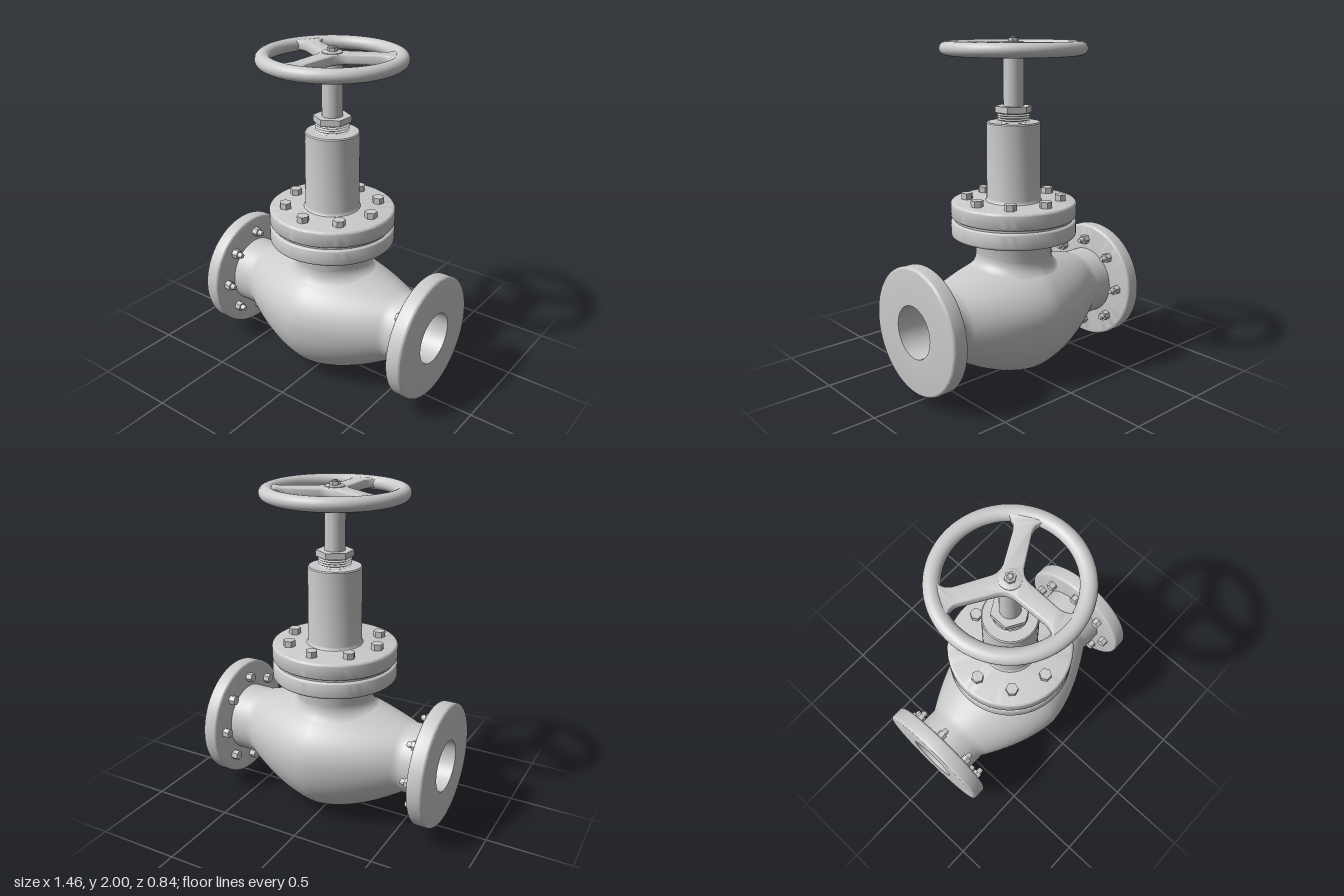
import * as THREE from 'three';
import { mergeVertices, toCreasedNormals } from 'three/addons/utils/BufferGeometryUtils.js';
import { ParametricGeometry } from 'three/addons/geometries/ParametricGeometry.js';

const material = new THREE.MeshStandardMaterial({ color: 0xcccccc });
const AXIS = 0.42; // height of the pipe axis
const BORE = 0.153;
const BOLT_CIRCLE = 0.275;

function add(parent, name, geometry, x = 0, y = 0, z = 0) {
  const mesh = new THREE.Mesh(geometry, material);
  mesh.name = name;
  mesh.position.set(x, y, z);
  parent.add(mesh);
  return mesh;
}

// Turned part from [radius, height] pairs, listed upwards along the outside
function turned(points, segments = 64) {
  return toCreasedNormals(new THREE.LatheGeometry(points.map(p => new THREE.Vector2(...p)), segments), 0.6);
}

// Rounded outer edge of a disc from y0 to y1
function roundedRim(r, y0, y1, b) {
  const points = [];
  for (const [cy, start] of [[y0 + b, -Math.PI / 2], [y1 - b, 0]]) {
    for (let i = 0; i <= 4; i++) {
      const a = start + i * Math.PI / 8;
      points.push([r - b + b * Math.cos(a), cy + b * Math.sin(a)]);
    }
  }
  return points;
}

function hex(r, h) {
  return toCreasedNormals(new THREE.CylinderGeometry(r, r, h, 6), 0.4);
}

// Body half-extents along x: sideways, down and up from the pipe axis
function swell(x, amount, power) {
  return 0.21 + amount * (1 - Math.min(1, Math.abs(x) / 0.5) ** power);
}
const halfWidth = x => swell(x, 0.187, 1.65);
const halfDown = x => swell(x, 0.206, 1.65);
const halfUp = x => swell(x, 0.1, 1.2);
const bodyTop = (x, z) => AXIS + halfUp(x) * Math.sqrt(Math.max(0, 1 - (z / halfWidth(x)) ** 2));

function bodyGeometry() {
  let g = new THREE.CylinderGeometry(1, 1, 1.3, 80, 52, true);
  g.rotateZ(-Math.PI / 2);
  const p = g.attributes.position;
  for (let i = 0; i < p.count; i++) {
    const x = p.getX(i), y = p.getY(i);
    p.setXYZ(i, x, y * (y > 0 ? halfUp(x) : halfDown(x)), p.getZ(i) * halfWidth(x));
  }
  g.deleteAttribute('uv');
  g.deleteAttribute('normal');
  g = mergeVertices(g);
  g.computeVertexNormals();
  return g;
}

// Blend between the upright neck and the swollen body
function neckFillet(u, v, target) {
  const a = u * Math.PI * 2, sx = Math.sin(a), cz = Math.cos(a);
  const r0 = 0.226, r1 = 0.29, s = 1 - v;
  const yIn = bodyTop(sx * r0, cz * r0), yOut = bodyTop(sx * r1, cz * r1) - 0.004;
  const r = r0 + (r1 - r0) * s * s;
  const y = (1 - s) ** 2 * (yIn + 0.06) + 2 * s * (1 - s) * yIn + s * s * yOut;
  target.set(sx * r, y, cz * r);
}

// Pipe flange pointing up its own y axis, with a ring of bolts on the inner face
function pipeFlange(name, withStuds) {
  const flange = new THREE.Group();
  flange.name = name;
  add(flange, 'flangeDisc', turned([[BORE, 0.635], ...roundedRim(0.37, 0.635, 0.73, 0.016), [BORE, 0.73], [BORE, 0.635]], 80));
  for (let i = 0; i < 8; i++) {
    const bolt = new THREE.Group();
    bolt.name = 'flangeBolt';
    bolt.rotation.y = i * Math.PI / 4;
    add(bolt, 'hexNut', hex(0.03, 0.04), 0, 0.616, BOLT_CIRCLE).rotation.y = Math.PI / 6;
    if (withStuds) {
      add(bolt, 'studEnd', turned([[0.018, 0.61], [0.018, 0.58], [0.014, 0.566], [0, 0.566]].reverse(), 16), 0, 0, BOLT_CIRCLE);
    }
    flange.add(bolt);
  }
  flange.position.y = AXIS;
  return flange;
}

// Three flared spokes joined at the hub, drawn as one outline
function spokeGeometry() {
  const shape = new THREE.Shape();
  for (let k = 0; k < 3; k++) {
    const a = Math.PI / 2 + k * Math.PI * 2 / 3;
    const at = (d, s, t = a) => [d * Math.cos(t) - s * Math.sin(t), d * Math.sin(t) + s * Math.cos(t)];
    if (k === 0) shape.moveTo(...at(0.09, -0.04));
    shape.lineTo(...at(0.26, -0.036));
    shape.quadraticCurveTo(...at(0.325, -0.036), ...at(0.345, -0.085));
    shape.lineTo(...at(0.345, 0.085));
    shape.quadraticCurveTo(...at(0.325, 0.036), ...at(0.26, 0.036));
    shape.lineTo(...at(0.09, 0.04));
    const next = a + Math.PI * 2 / 3;
    shape.quadraticCurveTo(...at(0.045, 0, a + Math.PI / 3), ...at(0.09, -0.04, next));
  }
  const g = new THREE.ExtrudeGeometry(shape, {
    depth: 0.028, bevelEnabled: true, bevelThickness: 0.014, bevelSize: 0.012, bevelSegments: 4, curveSegments: 10,
  });
  g.rotateX(Math.PI / 2);
  return toCreasedNormals(g, 0.7);
}

function handWheel() {
  const wheel = new THREE.Group();
  wheel.name = 'handWheel';
  const rim = new THREE.TorusGeometry(0.376, 0.044, 24, 96);
  rim.rotateX(Math.PI / 2);
  rim.scale(1, 0.91, 1);
  add(wheel, 'rim', rim, 0, 1.934, 0);
  add(wheel, 'spokes', spokeGeometry(), 0, 1.95, 0);
  add(wheel, 'hub', turned([[0, 1.89], [0.058, 1.89], [0.058, 1.968], [0.05, 1.972], [0, 1.972]], 40));
  add(wheel, 'hubNut', hex(0.03, 0.022), 0, 1.98, 0);
  add(wheel, 'stemTip', turned([[0.017, 1.97], [0.017, 1.995], [0.012, 2], [0, 2]], 24));
  return wheel;
}

export function createModel() {
  const model = new THREE.Group();
  model.name = 'globeValve';

  // Swollen body with a straight bore
  add(model, 'body', bodyGeometry(), 0, AXIS, 0);
  const bore = add(model, 'bore', turned([[BORE, 0.64], [BORE, -0.64]]), 0, AXIS, 0);
  bore.rotation.z = Math.PI / 2;
  add(model, 'neckFillet', new ParametricGeometry(neckFillet, 80, 12));
  add(model, 'neck', turned([[0.226, 0.66], [0.226, 0.835], [0.234, 0.855]]));

  // End flanges: heads on the left, studs on the right
  const left = pipeFlange('leftFlange', false);
  left.rotation.z = -Math.PI / 2;
  const right = pipeFlange('rightFlange', true);
  right.rotation.z = Math.PI / 2;
  model.add(left, right);

  // Bonnet flanges with gasket between them
  add(model, 'lowerBonnetFlange', turned([[0.2, 0.85], ...roundedRim(0.37, 0.85, 0.948, 0.016), [0, 0.948]], 80));
  add(model, 'gasket', turned([[0.35, 0.94], [0.35, 0.97]]));
  add(model, 'upperBonnetFlange', turned([[0, 0.962], ...roundedRim(0.37, 0.962, 1.06, 0.016), [0, 1.06]], 80));
  for (let i = 0; i < 8; i++) {
    const bolt = new THREE.Group();
    bolt.name = 'bonnetBolt';
    bolt.rotation.y = i * Math.PI / 4;
    add(bolt, 'boltHead', hex(0.036, 0.04), 0, 1.076, BOLT_CIRCLE).rotation.y = Math.PI / 6;
    model.add(bolt);
  }

  // Bonnet tube, threaded gland, gland nut and stem
  add(model, 'bonnet', turned([[0.168, 1.058], [0.161, 1.065], [0.158, 1.08], [0.156, 1.514], [0.15, 1.52], [0, 1.52]]));
  const thread = [];
  for (let i = 0; i < 5; i++) thread.push([0.082, 1.515 + i * 0.013], [0.097, 1.5215 + i * 0.013]);
  add(model, 'glandThread', turned(thread, 48));
  add(model, 'glandNut', hex(0.109, 0.036), 0, 1.592, 0);
  add(model, 'stem', turned([[0.059, 1.56], [0.059, 1.92]], 40));

  model.add(handWheel());
  return model;
}
